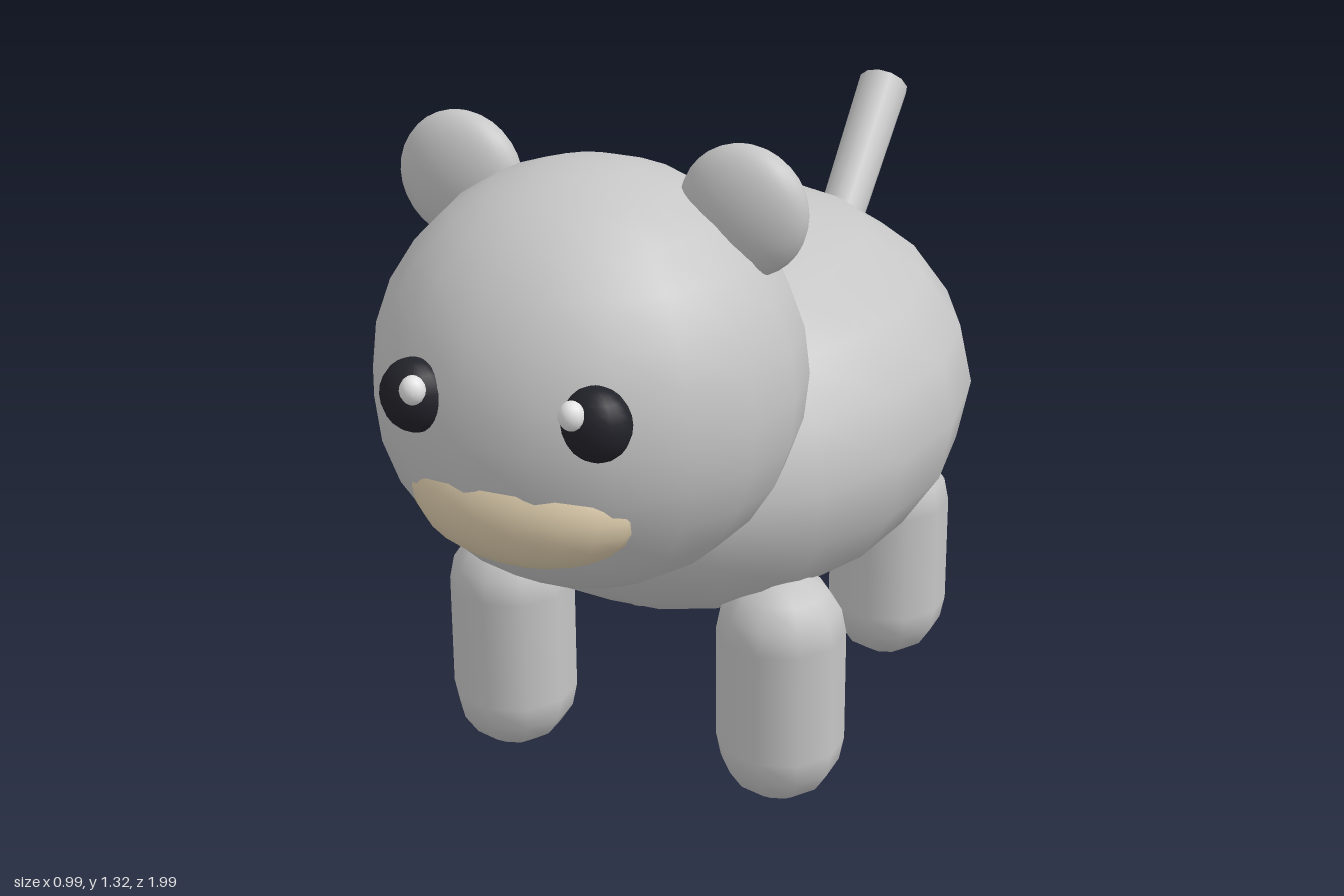
import * as THREE from 'three';

export function createModel() {
  const group = new THREE.Group();
  const mat = (name, color) => {
    const m = new THREE.MeshStandardMaterial({ color });
    m.name = name;
    return m;
  };
  const fur = mat('grey fur', 0xc6c6c6);
  const dark = mat('dark', 0x22222a);
  const tan = mat('tan muzzle', 0xdecdad);
  const glint = mat('eye glint', 0xe4e4e4);

  const add = (name, geometry, material, x, y, z) => {
    const mesh = new THREE.Mesh(geometry, material);
    mesh.name = name;
    mesh.position.set(x, y, z);
    group.add(mesh);
    return mesh;
  };
  // Ellipsoid with radii rx, ry, rz
  const ellipsoid = (name, material, [x, y, z], [rx, ry, rz], w = 18, h = 14) => {
    const mesh = add(name, new THREE.SphereGeometry(1, w, h), material, x, y, z);
    mesh.scale.set(rx, ry, rz);
    return mesh;
  };

  // Body, head and muzzle
  ellipsoid('body', fur, [0, 0.668, 0.07], [0.496, 0.378, 0.615], 18, 10);
  ellipsoid('head', fur, [0, 0.899, 0.6], [0.378, 0.377, 0.378]);
  ellipsoid('muzzle', tan, [0, 0.77, 0.85], [0.21, 0.12, 0.127]);

  // Paired parts
  for (const [side, s] of [['left', 1], ['right', -1]]) {
    ellipsoid(side + 'Ear', fur, [s * 0.263, 1.206, 0.55], [0.115, 0.116, 0.058], 24, 16);
    ellipsoid(side + 'Eye', dark, [s * 0.163, 0.955, 0.93], [0.06, 0.064, 0.05], 16, 12);
    ellipsoid(side + 'EyeGlint', glint, [s * 0.141, 0.984, 0.976], [0.022, 0.025, 0.022], 12, 8);
    for (const [end, z] of [['Front', 0.386], ['Rear', -0.236]]) {
      const leg = add(side + end + 'Leg', new THREE.CapsuleGeometry(0.12, 0.222, 4, 10), fur, s * 0.275, 0.234, z);
      leg.rotation.y = Math.PI / 2;
    }
  }

  // Tail, slightly wider at the tip, rising backward
  const base = new THREE.Vector3(0, 0.486, -0.347);
  const tip = new THREE.Vector3(0, 0.998, -0.96);
  const dir = tip.clone().sub(base);
  const mid = base.clone().add(tip).multiplyScalar(0.5);
  const tail = add('tail', new THREE.CylinderGeometry(0.055, 0.041, dir.length(), 12), fur, 0, mid.y, mid.z);
  tail.quaternion.setFromUnitVectors(new THREE.Vector3(0, 1, 0), dir.normalize());

  // Small blocks along the back
  for (const z of [0.068, -0.165]) {
    add('backBlock', new THREE.BoxGeometry(0.065, 0.065, 0.067), dark, 0, 1.03, z);
  }
  return group;
}
